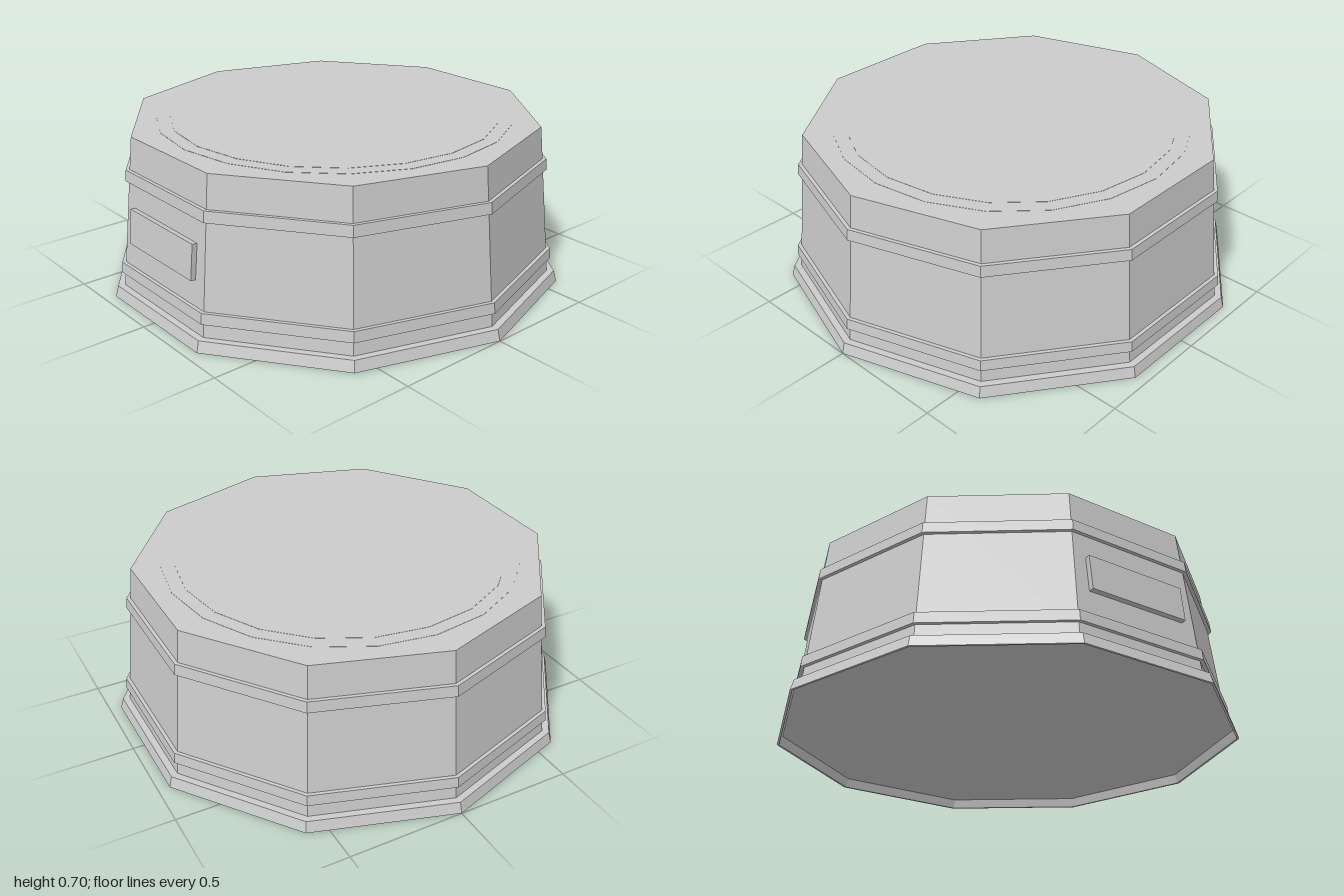
import * as THREE from 'three';

const SIDES = 10;
const BODY_BOTTOM = 0.045, BODY_TOP = 0.698;

// radius of the tapering body at height y
const bodyRadius = (y) => THREE.MathUtils.mapLinear(y, BODY_BOTTOM, BODY_TOP, 0.957, 0.887);

export function createModel() {
  const model = new THREE.Group();
  const material = new THREE.MeshStandardMaterial({ color: 0xcccccc, flatShading: true });

  const add = (name, geometry) => {
    const mesh = new THREE.Mesh(geometry, material);
    mesh.name = name;
    model.add(mesh);
    return mesh;
  };

  // ten-sided solid from a profile of [radius, height], corners on the x axis
  const decagon = (name, profile) => add(name, new THREE.LatheGeometry(
    profile.map(([r, y]) => new THREE.Vector2(r, y)), SIDES, Math.PI / 2));

  // flared foot, hollow underneath
  decagon('foot', [[0, 0.04], [0.978, 0.04], [0.99, 0], [1, 0], [0.987, 0.047], [0.94, 0.047]]);

  // tapering body with a flat top
  decagon('body', [[bodyRadius(BODY_BOTTOM), BODY_BOTTOM], [bodyRadius(BODY_TOP), BODY_TOP], [0, BODY_TOP]]);

  // raised bands that follow the taper
  const band = (name, y0, y1) => {
    const proud = 0.016;
    decagon(name, [
      [bodyRadius(y0) - 0.01, y0], [bodyRadius(y0) + proud, y0],
      [bodyRadius(y1) + proud, y1], [bodyRadius(y1) - 0.01, y1],
    ]);
  };
  band('lowerBand', 0.107, 0.153);
  band('upperBand', 0.513, 0.56);

  // thin round inlays on the top
  [['outerInlay', 0.765, 0.001], ['innerInlay', 0.706, 0.002]].forEach(([name, radius, rise]) => {
    add(name, new THREE.CylinderGeometry(radius, radius, 0.01, 20)).position.y = BODY_TOP + rise - 0.005;
  });

  // blank plaque lying on the sloping front face
  const apothem = Math.cos(Math.PI / SIDES);
  const plaqueY = 0.335;
  const slope = Math.atan((bodyRadius(0) - bodyRadius(1)) * apothem);
  const plaque = add('plaque', new THREE.BoxGeometry(0.455, 0.15, 0.04));
  plaque.position.set(0, plaqueY, bodyRadius(plaqueY) * apothem + 0.002);
  plaque.rotation.x = -slope;

  return model;
}
